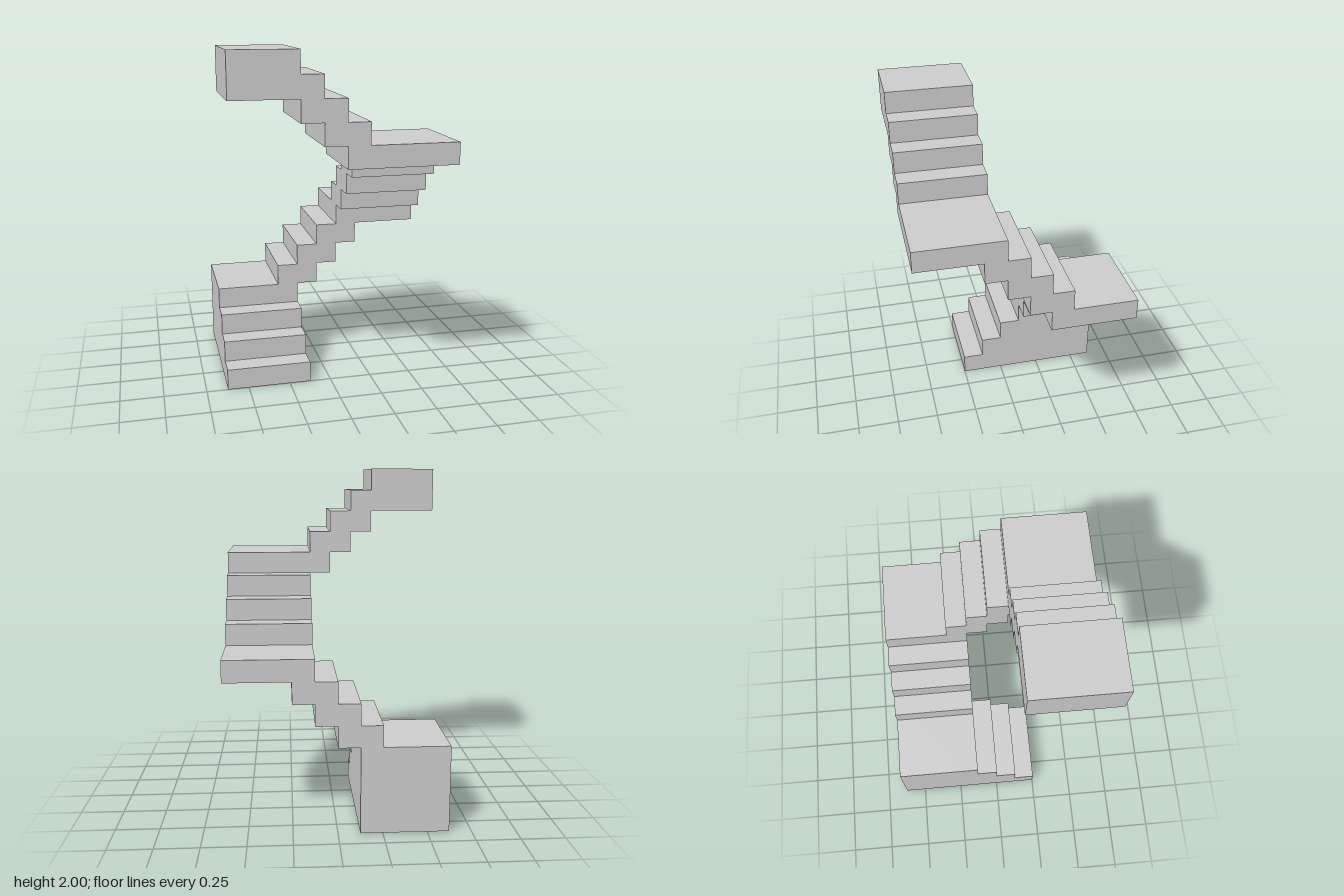
import * as THREE from 'three';

const STEP = 0.125;   // rise and tread depth
const WIDTH = 0.5;    // width of every flight
const OUTER = 0.625;  // half of the square footprint

const material = new THREE.MeshStandardMaterial({ color: 0xcccccc, flatShading: true });

// Zigzag of n risers and treads from (u, y), climbing in direction dir
function zigzag(u, y, dir, n) {
  const points = [[u, y]];
  for (let i = 0; i < n; i++) {
    y += STEP;
    points.push([u, y]);
    u += dir * STEP;
    points.push([u, y]);
  }
  return points;
}

// Side profile extruded to the flight width
function flight(name, profile) {
  const shape = new THREE.Shape(profile.map(([u, y]) => new THREE.Vector2(u, y)));
  const geometry = new THREE.ExtrudeGeometry(shape, { depth: WIDTH, bevelEnabled: false });
  const mesh = new THREE.Mesh(geometry, material);
  mesh.name = name;
  return mesh;
}

// Flight running along x, filling z0 .. z0 + WIDTH
function alongX(name, z0, profile) {
  const mesh = flight(name, profile);
  mesh.geometry.translate(0, 0, z0);
  return mesh;
}

// Flight running along z, filling x0 .. x0 + WIDTH
function alongZ(name, x0, profile) {
  const mesh = flight(name, profile);
  mesh.geometry.rotateY(-Math.PI / 2).translate(x0 + WIDTH, 0, 0);
  return mesh;
}

export function createModel() {
  const group = new THREE.Group();
  group.name = 'squareSpiralStaircase';

  group.add(
    // Solid base flight and first landing, climbing to the back
    alongZ('baseFlight', -OUTER, [
      ...zigzag(0.25, 0, -1, 4), [-OUTER, 0.5], [-OUTER, 0],
    ]),
    // Back flight with a stepped underside, ending in the second landing
    alongX('backFlight', -OUTER, [
      ...zigzag(-0.25, 0.5, 1, 4), [OUTER, 1], [OUTER, 0.875],
      ...zigzag(0, 0.5, 1, 3).reverse(),
    ]),
    // Side flight, climbing to the front
    alongZ('sideFlight', STEP, [
      ...zigzag(-0.25, 1, 1, 3), [0.25, 1.375],
      ...zigzag(0, 1, 1, 2).reverse(),
    ]),
    // Third landing, front flight and thick top landing
    alongX('frontFlight', STEP, [
      [OUTER, 1.375], [OUTER, 1.5],
      ...zigzag(STEP, 1.5, -1, 4), [-OUTER, 2], [-OUTER, 1.75],
      ...zigzag(0, 1.375, -1, 3).reverse(),
    ]),
  );
  return group;
}
